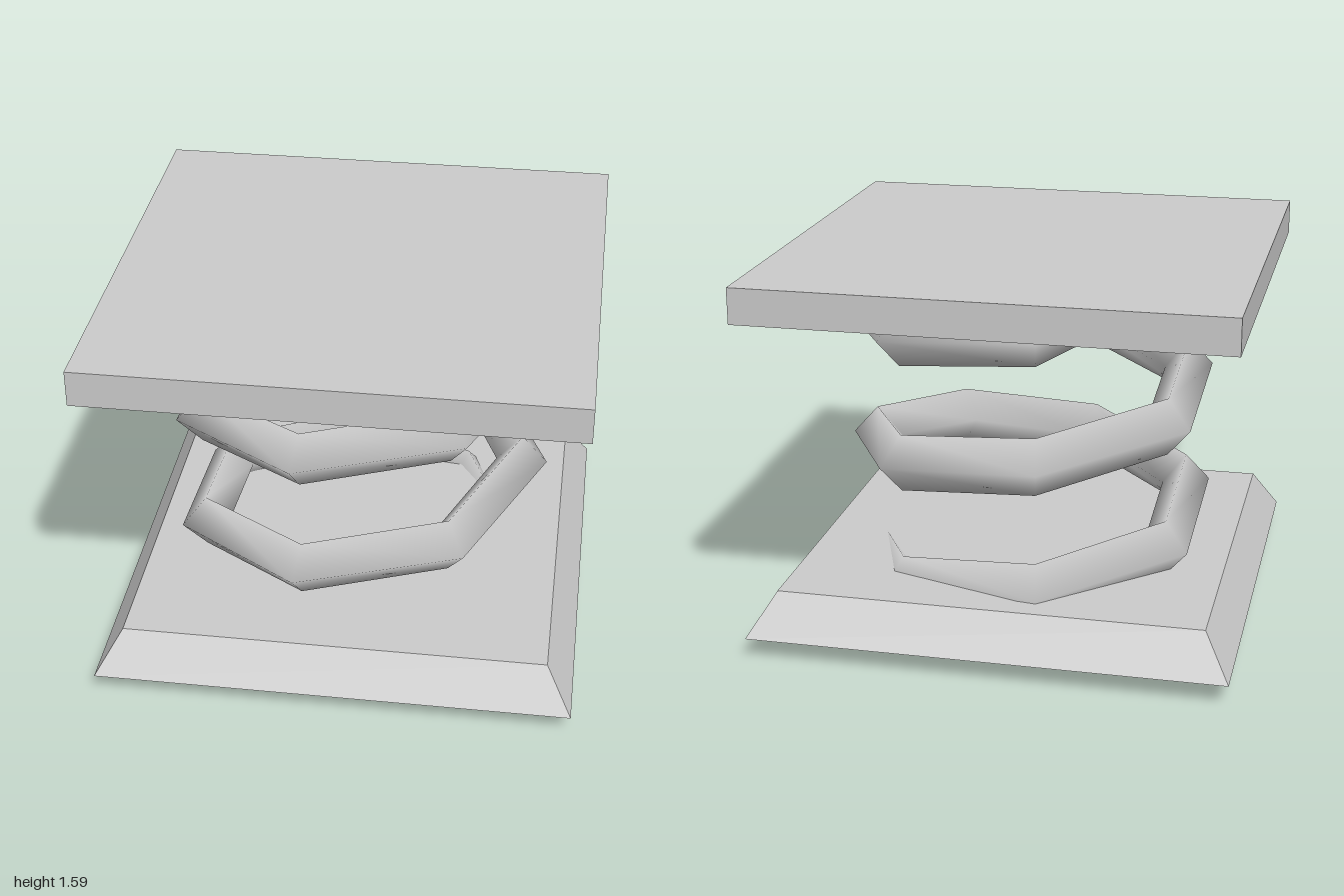
import * as THREE from 'three';

export function createModel() {
  const group = new THREE.Group();
  const flat = new THREE.MeshStandardMaterial({ color: 0xcccccc, flatShading: true, side: THREE.DoubleSide });
  const smooth = new THREE.MeshStandardMaterial({ color: 0xcccccc, side: THREE.DoubleSide });

  const add = (name, geometry, material, x = 0, y = 0, z = 0) => {
    const mesh = new THREE.Mesh(geometry, material);
    mesh.name = name;
    mesh.position.set(x, y, z);
    group.add(mesh);
  };

  // Top slab
  add('topPlate', new THREE.BoxGeometry(2, 0.15, 2), flat, 0, 1.515, 0);

  // Bevelled base, hollow and open underneath
  const baseTop = 0.89;
  const skirt = new THREE.CylinderGeometry(baseTop * Math.SQRT2, Math.SQRT2, 0.18, 4, 1, true);
  skirt.rotateY(Math.PI / 4);
  add('baseSkirt', skirt, flat, 0, 0.18, 0);
  const deck = new THREE.PlaneGeometry(baseTop * 2, baseTop * 2);
  deck.rotateX(-Math.PI / 2);
  add('baseDeck', deck, flat, 0, 0.27, 0);

  // Coil spring: diamond section, seven rings per turn, smooth shaded
  const R = 0.71, halfW = 0.11, halfH = 0.123, pitch = 0.547;
  const perTurn = 7, last = 17, sides = 4;
  const positions = [], index = [];
  for (let i = 0; i <= last; i++) {
    const angle = (i / perTurn) * Math.PI * 2;
    // the final ring is flattened up into the top slab
    const isLast = i === last;
    const y = isLast ? 1.5 : halfH + (pitch * i) / perTurn;
    const h = isLast ? 0.05 : halfH;
    for (let j = 0; j < sides; j++) {
      const a = (j / sides) * Math.PI * 2;
      const r = R + halfW * Math.cos(a);
      positions.push(r * Math.cos(angle), y + h * Math.sin(a), -r * Math.sin(angle));
      if (isLast) continue;
      const p = i * sides + j, q = i * sides + ((j + 1) % sides);
      index.push(p, p + sides, q, p + sides, q + sides, q);
    }
  }
  const coil = new THREE.BufferGeometry();
  coil.setAttribute('position', new THREE.Float32BufferAttribute(positions, 3));
  coil.setIndex(index);
  coil.computeVertexNormals();
  add('springCoil', coil, smooth);

  // Cap on the lower end of the spring
  const cap = new THREE.CircleGeometry(1, sides);
  cap.scale(halfW, halfH, 1);
  add('springEnd', cap, flat, R, halfH, 0);

  return group;
}
